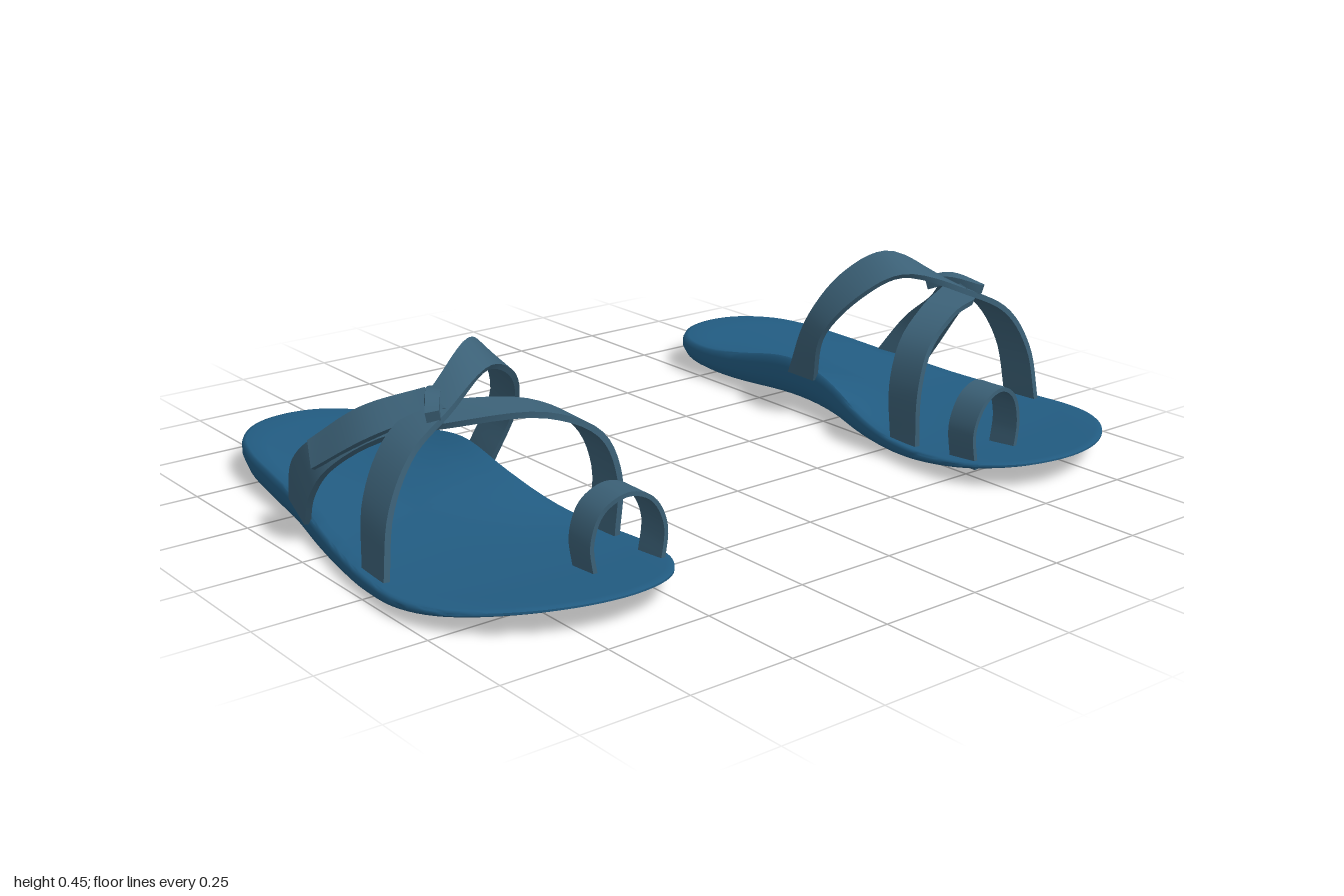
import * as THREE from 'three';
import { toCreasedNormals } from 'three/addons/utils/BufferGeometryUtils.js';

const V = (p) => new THREE.Vector3(...p);

// Skin a list of closed rings; rings run counter-clockwise around the loft direction
function loft(rings, crease) {
  const n = rings[0].length;
  const pos = rings.flatMap((r) => r.flatMap((p) => [p.x, p.y, p.z]));
  const index = [];
  for (let i = 0; i < rings.length - 1; i++) {
    for (let j = 0; j < n; j++) {
      const k = (j + 1) % n;
      const a = i * n + j, b = i * n + k, c = (i + 1) * n + k, d = (i + 1) * n + j;
      index.push(a, b, c, a, c, d);
    }
  }
  const geo = new THREE.BufferGeometry();
  geo.setAttribute('position', new THREE.Float32BufferAttribute(pos, 3));
  geo.setIndex(index);
  return toCreasedNormals(geo, crease);
}

// Flat band stretched between two edge curves, with a thin rectangular section
function band(edgeA, edgeB, thickness = 0.014, steps = 40) {
  const a = new THREE.CatmullRomCurve3(edgeA.map(V));
  const b = new THREE.CatmullRomCurve3(edgeB.map(V));
  const mid = (t) => a.getPoint(t).add(b.getPoint(t)).multiplyScalar(0.5);
  const rings = [];
  for (let i = 0; i <= steps; i++) {
    const t = i / steps;
    const pa = a.getPoint(t), pb = b.getPoint(t);
    const tangent = mid(Math.min(1, t + 0.01)).sub(mid(Math.max(0, t - 0.01)));
    const n = tangent.cross(pb.clone().sub(pa)).setLength(thickness / 2);
    rings.push([pa.clone().sub(n), pb.clone().sub(n), pb.clone().add(n), pa.clone().add(n)]);
  }
  const cap = (t) => Array.from({ length: 4 }, () => mid(t));
  return loft([cap(0), ...rings, cap(1)], 0.7);
}

// Footbed heights: curled toe, raised heel, arch support along the inner edge
const arch = (x, z) =>
  0.08 * Math.exp(-(((z + 0.11) / 0.23) ** 2)) * Math.min(1, Math.max(0, 1 - (x - 0.5) / 0.27)) ** 1.6;
const topY = (x, z) =>
  (z > 0 ? 0.05 - 0.065 * z + 0.14 * z * z : 0.05 - 0.09 * z - 0.05 * z * z) + arch(x, z);
const bottomY = (x, z) => (z > 0 ? 0.125 : 0.09) * z * z + 0.45 * arch(x, z);

function soleGeometry() {
  // Outline from the toe, along the outer side to the heel, back along the inner side
  const outline = new THREE.CatmullRomCurve3([
    [0.63, 0.69], [0.75, 0.67], [0.87, 0.6], [0.96, 0.5], [0.997, 0.39], [0.995, 0.25], [0.975, 0.1],
    [0.95, -0.05], [0.922, -0.2], [0.907, -0.35], [0.888, -0.5], [0.85, -0.605], [0.78, -0.672],
    [0.69, -0.693], [0.6, -0.672], [0.53, -0.61], [0.5, -0.52], [0.5, -0.35], [0.505, -0.18],
    [0.502, 0], [0.465, 0.18], [0.43, 0.35], [0.424, 0.45], [0.445, 0.56], [0.52, 0.655],
  ].map(([x, z]) => new THREE.Vector3(x, 0, z)), true).getPoints(120).slice(0, -1);

  // [scale from the centre, height fraction between bottom and top]
  const profile = [
    [0, 0], [0.3, 0], [0.6, 0], [0.8, 0], [0.93, 0.02], [0.98, 0.12], [1, 0.4],
    [1, 0.72], [0.99, 0.93], [0.97, 1], [0.85, 0.97], [0.7, 0.95], [0.45, 0.95], [0.2, 0.95], [0, 0.95],
  ];
  return loft(profile.map(([s, f]) => outline.map((p) => {
    const x = 0.715 + (p.x - 0.715) * s, z = p.z * s;
    return new THREE.Vector3(x, THREE.MathUtils.lerp(bottomY(x, z), topY(x, z), f), z);
  })), 1.0);
}

export function createModel() {
  const soleBlue = new THREE.MeshStandardMaterial({ color: 0x225c82 });
  soleBlue.name = 'soleBlue';
  const strapSlate = new THREE.MeshStandardMaterial({ color: 0x3b6076 });
  strapSlate.name = 'strapSlate';

  const parts = {
    sole: soleGeometry(),
    // Front inner edge, over the instep, to the outer side behind
    frontStrap: band(
      [[0.455, 0.04, 0.38], [0.45, 0.18, 0.385], [0.49, 0.28, 0.375], [0.6, 0.335, 0.34], [0.77, 0.325, 0.25],
        [0.88, 0.28, 0.13], [0.945, 0.195, 0.02], [0.957, 0.12, -0.04], [0.945, 0.04, -0.09]],
      [[0.46, 0.04, 0.29], [0.45, 0.18, 0.29], [0.49, 0.28, 0.28], [0.59, 0.34, 0.25], [0.75, 0.345, 0.16],
        [0.85, 0.325, 0.06], [0.93, 0.25, -0.05], [0.938, 0.17, -0.15], [0.91, 0.05, -0.235]]),
    // Inner arch, up over the peak, to the outer side in front
    archStrap: band(
      [[0.505, 0.1, -0.04], [0.475, 0.24, 0.02], [0.53, 0.35, 0.1], [0.62, 0.395, 0.15], [0.77, 0.345, 0.23],
        [0.88, 0.285, 0.265], [0.945, 0.18, 0.285], [0.97, 0.035, 0.3]],
      [[0.508, 0.1, -0.14], [0.49, 0.27, -0.05], [0.55, 0.385, 0.01], [0.63, 0.44, 0.075], [0.76, 0.365, 0.14],
        [0.88, 0.29, 0.16], [0.945, 0.18, 0.18], [0.965, 0.035, 0.2]]),
    // Loose end lying over the outer strap
    strapTail: band(
      [[0.77, 0.35, 0.22], [0.895, 0.285, 0.12], [0.965, 0.195, -0.01]],
      [[0.77, 0.375, 0.14], [0.875, 0.33, 0.05], [0.95, 0.245, -0.05]], 0.012, 16),
    // Keeper around the crossing
    strapLoop: band(
      [[0.725, 0.35, 0.13], [0.755, 0.365, 0.17], [0.8, 0.35, 0.245]],
      [[0.75, 0.36, 0.115], [0.785, 0.37, 0.16], [0.825, 0.345, 0.23]], 0.024, 10),
    // Small hoop for the big toe
    toeStrap: band(
      [[0.47, 0.035, 0.56], [0.46, 0.13, 0.56], [0.495, 0.195, 0.56], [0.55, 0.214, 0.555],
        [0.605, 0.185, 0.545], [0.63, 0.12, 0.54], [0.62, 0.035, 0.54]],
      [[0.47, 0.035, 0.48], [0.46, 0.13, 0.48], [0.495, 0.195, 0.478], [0.55, 0.214, 0.473],
        [0.605, 0.185, 0.466], [0.63, 0.12, 0.463], [0.62, 0.035, 0.463]], 0.01),
  };

  const sandal = (name) => {
    const group = new THREE.Group();
    group.name = name;
    for (const [part, geo] of Object.entries(parts)) {
      const mesh = new THREE.Mesh(geo, part === 'sole' ? soleBlue : strapSlate);
      mesh.name = part;
      group.add(mesh);
    }
    return group;
  };

  const model = new THREE.Group();
  model.name = 'sandals';
  const left = sandal('leftSandal');
  // The right sandal is mirrored and turned very slightly
  const right = sandal('rightSandal');
  right.scale.x = -1;
  right.rotation.y = -0.025;
  right.position.set(0.01, 0, 0.018);
  model.add(left, right);
  return model;
}
